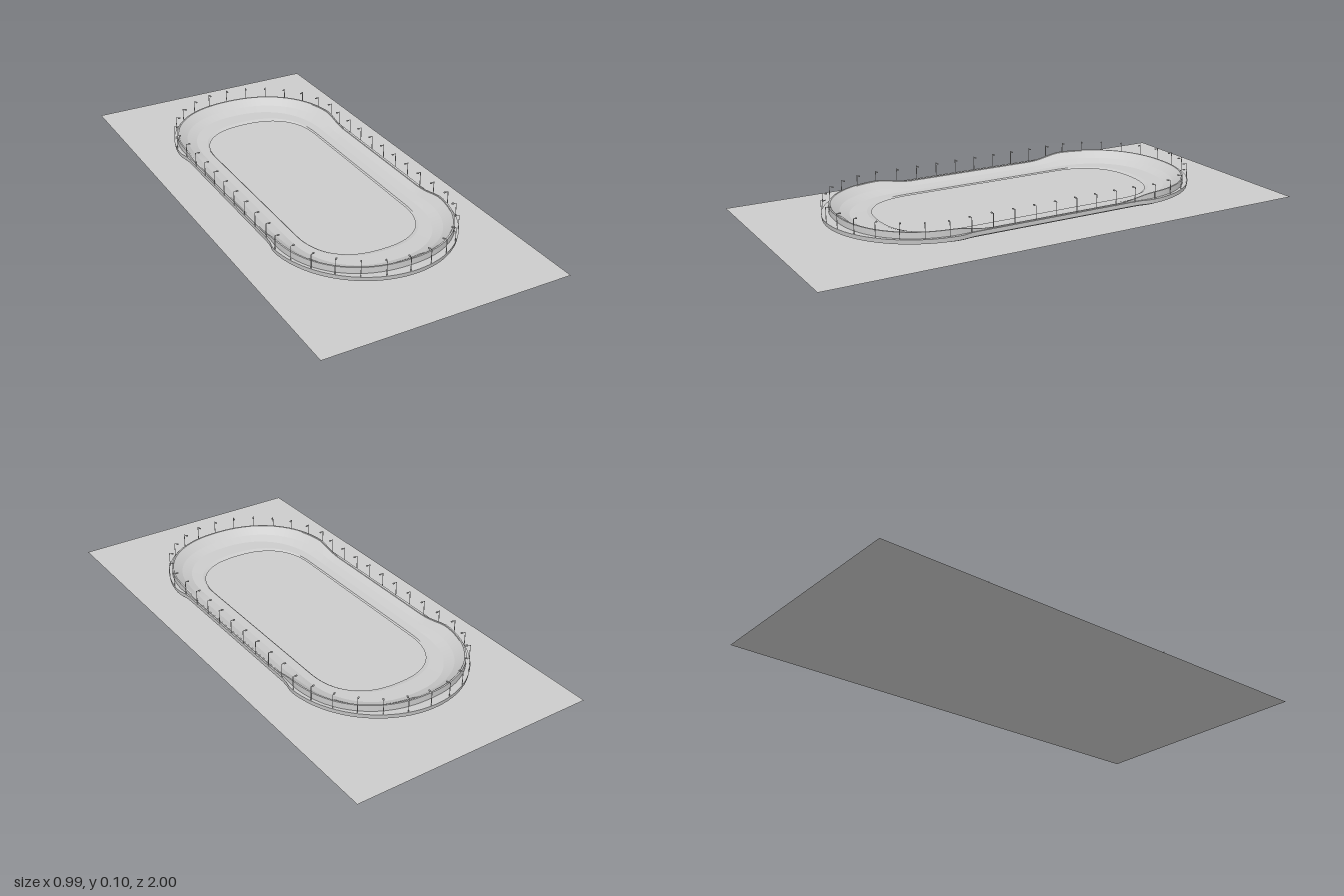
import * as THREE from 'three';

const material = new THREE.MeshStandardMaterial({ color: 0xcccccc, side: THREE.DoubleSide });
const END_STEPS = 48, STRAIGHT_STEPS = 28;
const atEnd = (z, a, b) => THREE.MathUtils.smoothstep(Math.abs(z), a, b);

// Closed oval: straight sides up to |z| = zs, rounded ends reaching |z| = ze.
// x, xe: half width on the straights and at the ends; y, ye: heights there;
// power: 2 gives round ends, larger gives squarer ones.
function oval({ x, xe = x, zs, ze, y, ye = y, power = 2 }) {
  const points = [];
  const add = (unitX, z) => points.push(new THREE.Vector3(
    unitX * THREE.MathUtils.lerp(x, xe, atEnd(z, 0.35, 0.42)),
    THREE.MathUtils.lerp(y, ye, atEnd(z, 0.28, 0.44)), z));
  for (const side of [1, -1]) {
    for (let i = 0; i < STRAIGHT_STEPS; i++) add(side, side * zs * (2 * i / STRAIGHT_STEPS - 1));
    for (let i = 0; i < END_STEPS; i++) {
      const a = Math.PI * i / END_STEPS, c = Math.cos(a), s = Math.sin(a);
      add(side * Math.sign(c) * Math.abs(c) ** (2 / power),
        side * (zs + (ze - zs) * s ** (2 / power)));
    }
  }
  return points;
}

// Smooth surface between two ovals
function strip(name, a, b) {
  const n = a.length, index = [];
  for (let i = 0; i < n; i++) {
    const j = (i + 1) % n;
    index.push(i, j, n + i, j, n + j, n + i);
  }
  const geometry = new THREE.BufferGeometry().setFromPoints([...a, ...b]);
  geometry.setIndex(index);
  geometry.computeVertexNormals();
  const mesh = new THREE.Mesh(geometry, material);
  mesh.name = name;
  return mesh;
}

function box(name, w, h, d, x, y, z) {
  const mesh = new THREE.Mesh(new THREE.BoxGeometry(w, h, d), material);
  mesh.position.set(x, y, z);
  mesh.name = name;
  return mesh;
}

// Floodlight on a post, its arm reaching along +z
function lamp() {
  const group = new THREE.Group();
  group.name = 'lampPost';
  group.add(
    box('post', 0.002, 0.06, 0.002, 0, 0.072, 0),
    box('arm', 0.0015, 0.0015, 0.014, 0, 0.1015, 0.006),
    box('lampHead', 0.005, 0.004, 0.009, 0, 0.1005, 0.013));
  return group;
}

export function createModel() {
  const model = new THREE.Group();
  model.name = 'ovalTrack';

  // Ground
  const ground = new THREE.Mesh(new THREE.PlaneGeometry(0.99, 2), material);
  ground.rotation.x = -Math.PI / 2;
  ground.name = 'ground';
  model.add(ground);

  // Cross-section of the track, from the infield to the outer skirt
  const infield = oval({ x: 0.229, zs: 0.34, ze: 0.57, y: 0.021, power: 2.4 });
  const apronIn = oval({ x: 0.235, zs: 0.34, ze: 0.59, y: 0.026, power: 2.4 });
  const apronOut = oval({ x: 0.27, zs: 0.36, ze: 0.66, y: 0.027, power: 2.3 });
  const bankMid = oval({ x: 0.305, zs: 0.38, ze: 0.695, y: 0.033, ye: 0.042, power: 2.25 });
  const bankTop = oval({ x: 0.335, xe: 0.338, zs: 0.39, ze: 0.728, y: 0.045, ye: 0.065, power: 2.2 });
  const wallIn = oval({ x: 0.336, xe: 0.339, zs: 0.39, ze: 0.73, y: 0.047, ye: 0.068, power: 2.2 });
  const wallOut = oval({ x: 0.341, xe: 0.345, zs: 0.39, ze: 0.736, y: 0.047, ye: 0.068, power: 2.2 });
  const deckIn = oval({ x: 0.341, xe: 0.345, zs: 0.39, ze: 0.736, y: 0.044, power: 2.2 });
  const deckOut = oval({ x: 0.348, xe: 0.36, zs: 0.4, ze: 0.773, y: 0.045 });
  const skirtLow = oval({ x: 0.347, xe: 0.358, zs: 0.4, ze: 0.77, y: 0.028 });
  const baseOut = oval({ x: 0.335, xe: 0.345, zs: 0.36, ze: 0.67, y: 0.021, power: 2.3 });

  model.add(
    strip('innerCurb', infield, apronIn),
    strip('apron', apronIn, apronOut),
    strip('lowerBank', apronOut, bankMid),
    strip('upperBank', bankMid, bankTop),
    strip('wallFace', bankTop, wallIn),
    strip('wallTop', wallIn, wallOut),
    strip('wallBack', wallOut, deckIn),
    strip('deck', deckIn, deckOut),
    strip('skirt', deckOut, skirtLow),
    strip('underside', skirtLow, baseOut),
    strip('base', baseOut, infield));

  // Lamp posts spaced evenly round the deck edge, arms turned inward
  const path = new THREE.CatmullRomCurve3(
    oval({ x: 0.348, xe: 0.358, zs: 0.4, ze: 0.771, y: 0 }), true);
  path.arcLengthDivisions = 800;
  const count = 44;
  for (let i = 0; i < count; i++) {
    const u = (i + 0.7) / count, post = lamp(), t = path.getTangentAt(u);
    post.position.copy(path.getPointAt(u));
    post.rotation.y = Math.atan2(-t.z, t.x);
    // Turn the arm towards the middle of the oval
    const inward = new THREE.Vector3(0, 0, 1).applyEuler(post.rotation);
    if (inward.dot(post.position) > 0) post.rotation.y += Math.PI;
    model.add(post);
  }
  return model;
}
